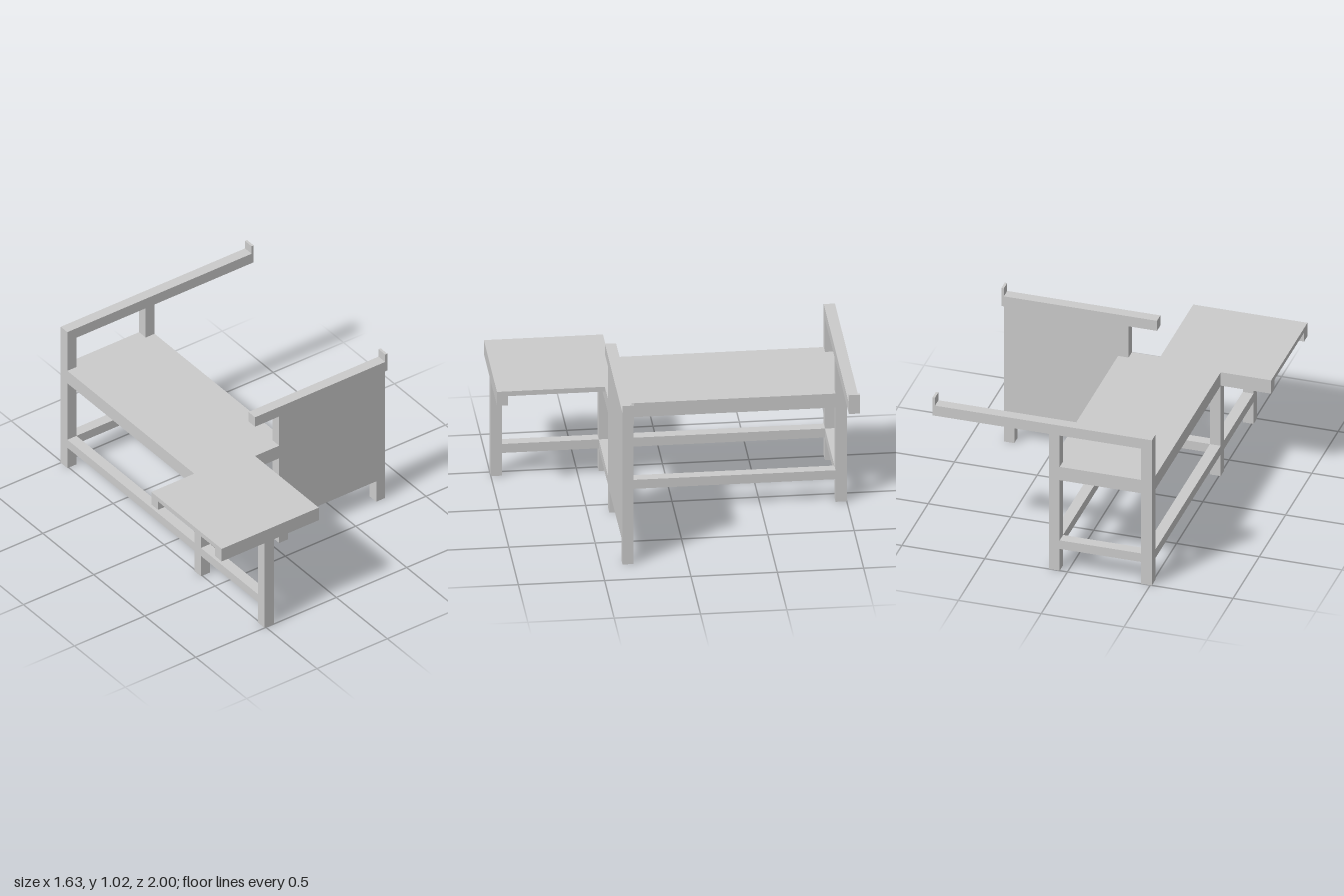
import * as THREE from 'three';

const material = new THREE.MeshStandardMaterial({ color: 0xcccccc, flatShading: true });

// Box given by its [min, max] extent on each axis
function beam(parent, name, [x0, x1], [y0, y1], [z0, z1]) {
  const mesh = new THREE.Mesh(new THREE.BoxGeometry(x1 - x0, y1 - y0, z1 - z0), material);
  mesh.position.set((x0 + x1) / 2, (y0 + y1) / 2, (z0 + z1) / 2);
  mesh.name = name;
  parent.add(mesh);
}

function section(parent, name) {
  const group = new THREE.Group();
  group.name = name;
  parent.add(group);
  return group;
}

export function createModel() {
  const model = new THREE.Group();
  model.name = 'workbench';

  // Shared post lines
  const outerX = [-0.51, -0.445], innerX = [0.047, 0.11], endX = [0.737, 0.8];
  const backZ = [-1, -0.935], midZ = [0.31, 0.375], frontZ = [0.935, 1];
  const low = [0.145, 0.202], apron = [0.603, 0.662], apronFull = [0.603, 0.692];
  const board = [0.662, 0.692], armY = [0.9, 0.967];

  // Posts
  const posts = section(model, 'posts');
  beam(posts, 'backOuterPost', outerX, [0, 0.9], backZ);
  beam(posts, 'backInnerPost', innerX, [0, 0.9], backZ);
  beam(posts, 'middleOuterPost', outerX, [0, 0.603], midZ);
  beam(posts, 'frontPost', outerX, [0, 0.603], frontZ);
  beam(posts, 'panelInnerLeg', innerX, [0, 0.145], midZ);
  beam(posts, 'panelEndLeg', endX, [0, 0.145], midZ);

  // Low stretchers
  const stretchers = section(model, 'stretchers');
  beam(stretchers, 'outerStretcher', outerX, low, [backZ[1], midZ[0]]);
  beam(stretchers, 'frontStretcher', outerX, low, [midZ[1], frontZ[0]]);
  beam(stretchers, 'innerStretcher', innerX, low, [backZ[1], midZ[0]]);
  for (const z of [backZ, midZ]) {
    beam(stretchers, 'crossStretcher', [outerX[1], innerX[0]], low, z);
  }

  // Aprons under the table top
  const aprons = section(model, 'aprons');
  beam(aprons, 'backApron', [outerX[1], innerX[0]], apronFull, backZ);
  beam(aprons, 'outerApron', outerX, apron, [backZ[1], midZ[0]]);
  beam(aprons, 'frontOuterApron', outerX, apron, [midZ[1], frontZ[0]]);
  beam(aprons, 'innerApron', innerX, apron, [backZ[1], midZ[0]]);
  beam(aprons, 'middleApron', [-0.815, innerX[0]], apron, midZ);
  beam(aprons, 'middleApronCap', [-0.125, innerX[0]], board, midZ);
  beam(aprons, 'frontApron', [-0.815, -0.125], apron, frontZ);

  // Table top in two boards
  const top = section(model, 'tableTop');
  beam(top, 'mainBoard', [-0.51, 0.11], board, [backZ[1], midZ[0]]);
  beam(top, 'frontBoard', [-0.815, -0.125], board, [midZ[0], 1]);

  // Side panel
  beam(model, 'sidePanel', [innerX[0], endX[1]], [0.145, 0.9], midZ);

  // Long arms with end stops
  for (const [z, start] of [[backZ, -0.51], [midZ, -0.125]]) {
    const arm = section(model, 'arm');
    beam(arm, 'armRail', [start, 0.8], armY, z);
    beam(arm, 'endStop', [0.8, 0.815], [0.9, 1.02], z);
  }

  return model;
}
